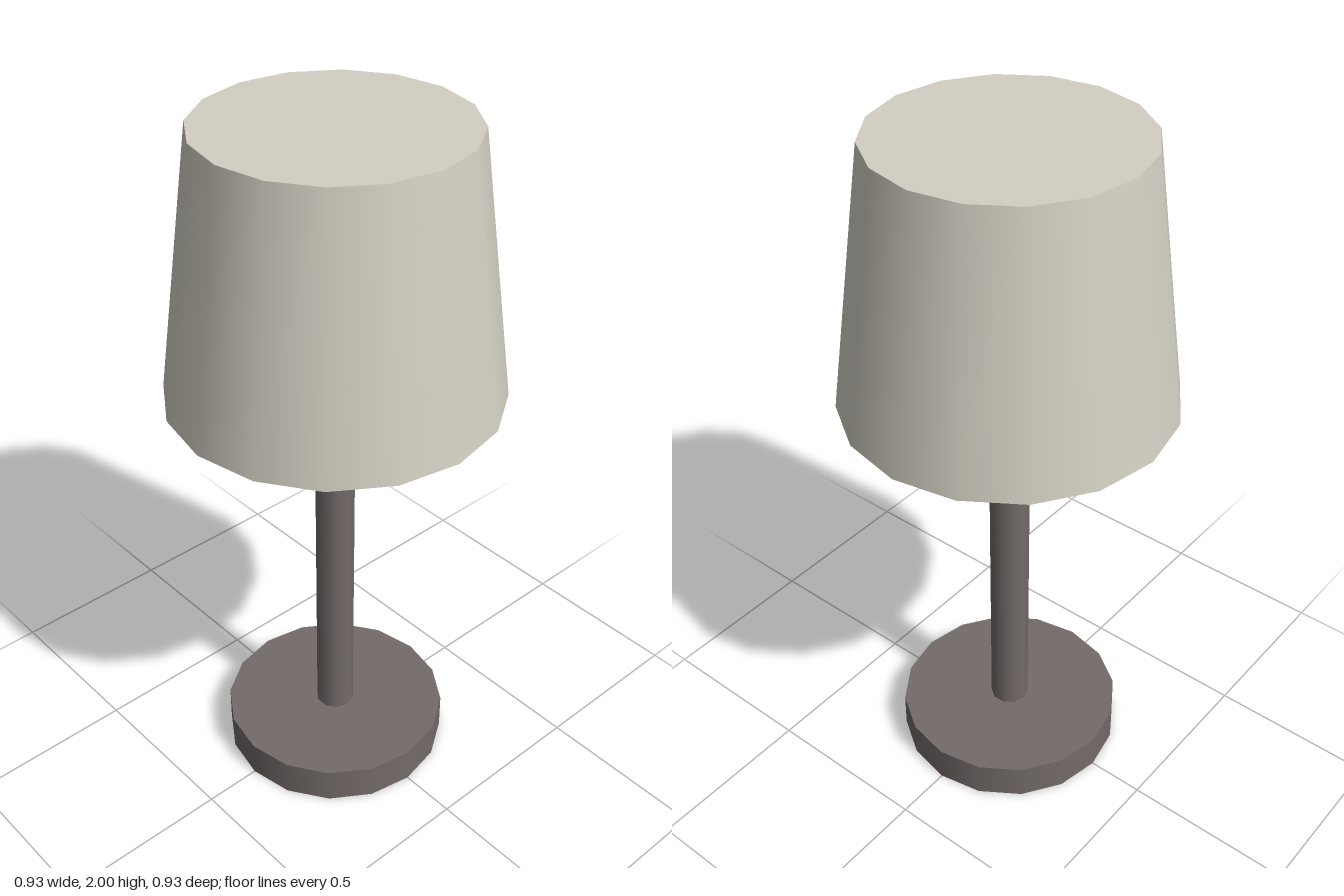
import * as THREE from 'three';

export function createModel() {
  const group = new THREE.Group();
  const metal = new THREE.MeshStandardMaterial({ color: 0x736b69 });
  metal.name = 'dark warm grey';
  const fabric = new THREE.MeshStandardMaterial({ color: 0xd3cfc3 });
  fabric.name = 'pale cream';

  // Capped round part between two heights, with a corner on the x axis
  function addRound(name, material, topRadius, bottomRadius, y0, y1, sides) {
    const geometry = new THREE.CylinderGeometry(topRadius, bottomRadius, y1 - y0, sides);
    geometry.rotateY(Math.PI / 2);
    geometry.translate(0, (y0 + y1) / 2, 0);
    const mesh = new THREE.Mesh(geometry, material);
    mesh.name = name;
    group.add(mesh);
  }

  addRound('base', metal, 0.332, 0.332, 0, 0.11, 16);
  addRound('pole', metal, 0.057, 0.057, 0.1, 1.22, 10);
  // Bulb holder peeking out beneath the shade
  addRound('bulbHolder', fabric, 0.125, 0.125, 1.2, 1.27, 10);
  addRound('shade', fabric, 0.365, 0.466, 1.248, 2, 16);

  return group;
}
